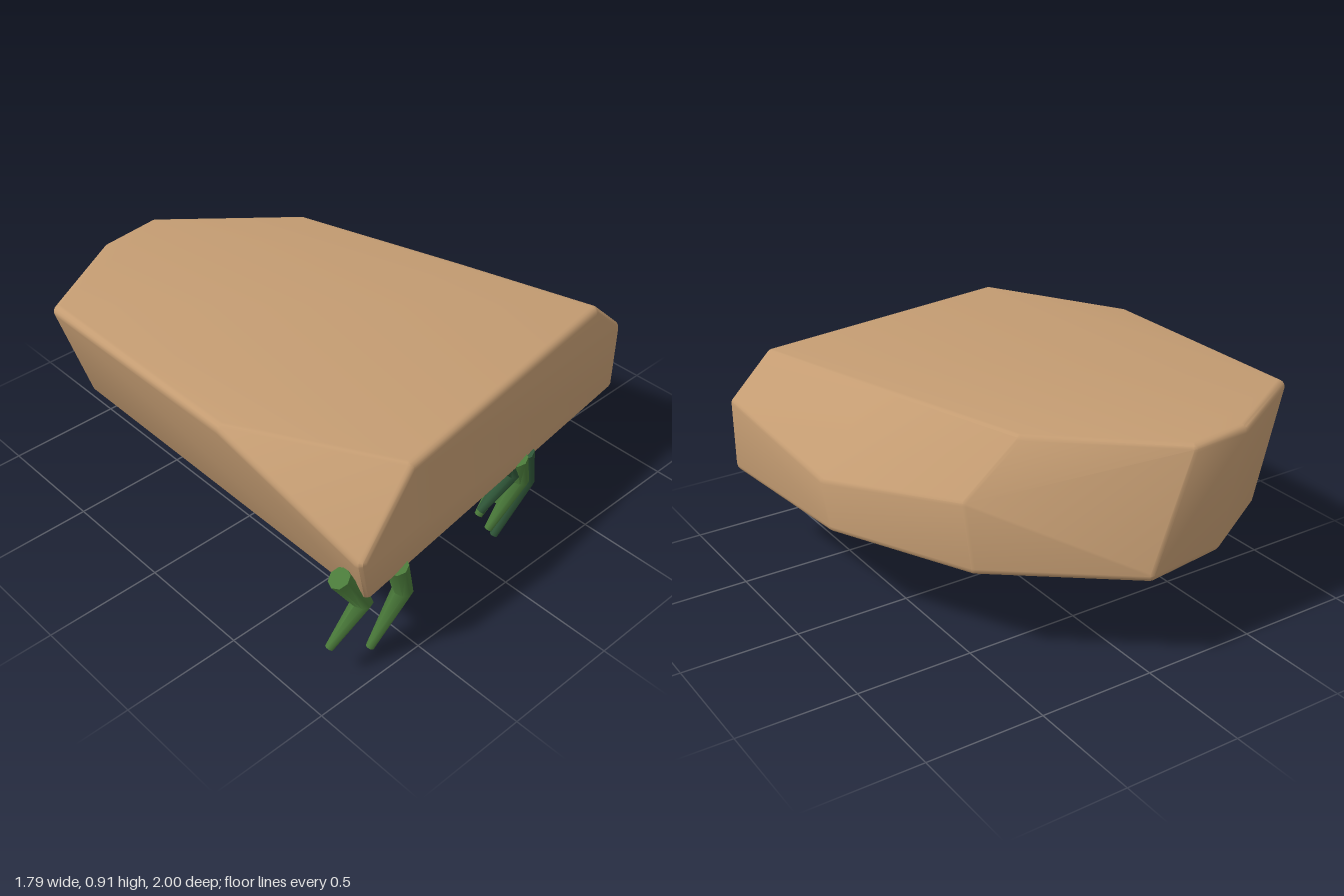
import * as THREE from 'three';
import { ConvexGeometry } from 'three/addons/geometries/ConvexGeometry.js';
import { toCreasedNormals } from 'three/addons/utils/BufferGeometryUtils.js';

const material = (name, color) => {
  const m = new THREE.MeshStandardMaterial({ color });
  m.name = name;
  return m;
};

// Convex stone with softly rounded edges: hull of a small sphere at each corner
function roundedHull(corners, radius, midY, halfHeight) {
  const sphere = new THREE.SphereGeometry(radius, 12, 8).attributes.position;
  const points = [];
  for (const [x, y, z] of corners) {
    const cx = x * (1 - radius / 0.9);
    const cy = midY + (y - midY) * (1 - radius / halfHeight);
    const cz = z * (1 - radius);
    for (let i = 0; i < sphere.count; i++) {
      points.push(new THREE.Vector3().fromBufferAttribute(sphere, i).add(new THREE.Vector3(cx, cy, cz)));
    }
  }
  return toCreasedNormals(new ConvexGeometry(points), 0.5);
}

// Tapered, bent limb: a cylinder whose three rings follow hip, knee and tip
function limbGeometry(points, radii) {
  const p = points.map((a) => new THREE.Vector3(...a));
  const up = new THREE.Vector3(0, 1, 0);
  const turns = p.map((_, i) => {
    const dir = p[Math.max(i - 1, 0)].clone().sub(p[Math.min(i + 1, 2)]).normalize();
    return new THREE.Quaternion().setFromUnitVectors(up, dir);
  });
  const geo = new THREE.CylinderGeometry(1, 1, 1, 8, 2);
  const pos = geo.attributes.position;
  const v = new THREE.Vector3();
  for (let i = 0; i < pos.count; i++) {
    v.fromBufferAttribute(pos, i);
    const ring = Math.round((0.5 - v.y) * 2);
    v.y = 0;
    v.multiplyScalar(radii[ring]).applyQuaternion(turns[ring]).add(p[ring]);
    pos.setXYZ(i, v.x, v.y, v.z);
  }
  return toCreasedNormals(geo, 0.9);
}

export function createModel() {
  const group = new THREE.Group();
  const stone = material('sandstone', 0xc49c72);
  const green = material('leaf green', 0x4a7a3a);
  const darkGreen = material('dark green', 0x2f5638);

  const add = (name, geometry, mat) => {
    const mesh = new THREE.Mesh(geometry, mat);
    mesh.name = name;
    group.add(mesh);
  };

  // Stone body
  const top = [[-0.9, -0.7], [-0.47, -0.95], [-0.2, -0.98], [0.3, -0.55], [0.53, 0.2],
    [0.7, 0.79], [-0.55, 0.97], [-0.9, 0.35]].map(([x, z]) => [x, 0.92, z]);
  const middle = [[0.53, 0.68, -0.52], [0.82, 0.6, 0.08], [0.89, 0.73, 0.77], [-0.81, 0.62, 1.0]];
  const bottom = [[0.89, 0.77], [0.82, 0.03], [0.53, -0.58], [0, -1], [-0.36, -0.95],
    [-0.75, -0.72], [-0.76, 0.98]].map(([x, z]) => [x, 0.41, z]);
  add('stoneBody', roundedHull([...top, ...middle, ...bottom], 0.03, 0.665, 0.255), stone);

  // Bent legs: hip, knee, tip
  const legs = [
    ['outerLeg', [-0.83, 0.53, 0.91], [-0.735, 0.365, 0.93], [-0.86, 0.18, 0.89], green],
    ['innerLeg', [-0.57, 0.44, 0.94], [-0.525, 0.28, 0.93], [-0.65, 0.03, 0.89], green],
    ['clusterLegA', [0.14, 0.45, 0.82], [0.18, 0.38, 0.83], [0.06, 0.22, 0.79], darkGreen],
    ['clusterLegB', [0.17, 0.45, 0.79], [0.2, 0.35, 0.79], [0.08, 0.17, 0.765], green],
    ['clusterLegC', [0.2, 0.45, 0.84], [0.24, 0.31, 0.83], [0.12, 0.085, 0.79], green],
    ['clusterLegD', [0.25, 0.45, 0.83], [0.29, 0.27, 0.82], [0.165, 0.02, 0.785], darkGreen],
    ['clusterLegE', [0.3, 0.45, 0.79], [0.31, 0.35, 0.785], [0.19, 0.17, 0.765], green],
  ];
  for (const [name, hip, knee, tip, mat] of legs) {
    add(name, limbGeometry([hip, knee, tip], [0.045, 0.042, 0.018]), mat);
  }
  return group;
}
